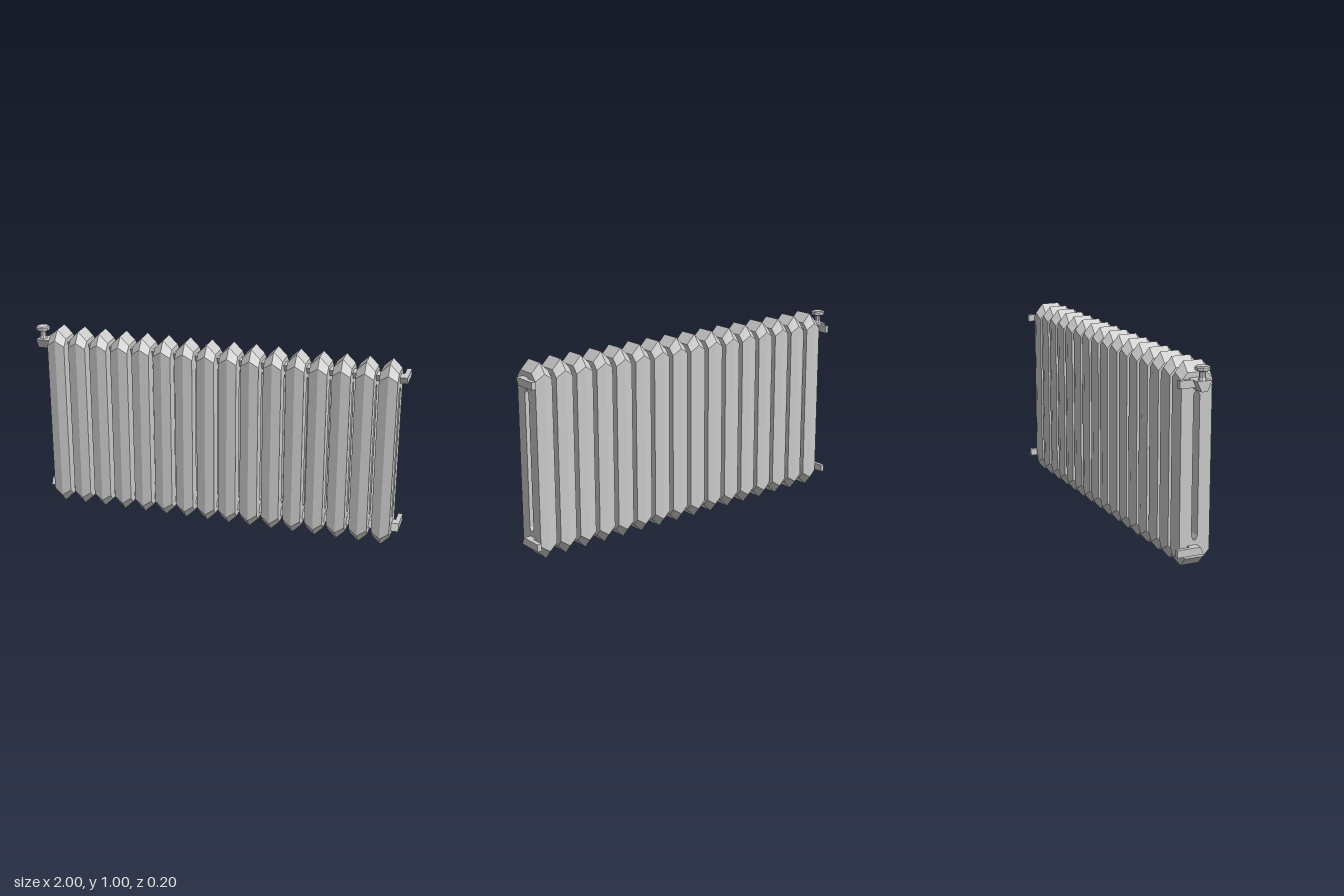
import * as THREE from 'three';

const material = new THREE.MeshStandardMaterial({ color: 0xcccccc, flatShading: true });

// Chamfered rectangle in the z-y plane, as eight points at a given x
function octagon(x, z0, z1, y0, y1, cz, cy) {
  return [
    [x, y1, z1 - cz], [x, y1, z0 + cz], [x, y1 - cy, z0], [x, y0 + cy, z0],
    [x, y0, z0 + cz], [x, y0, z1 - cz], [x, y0 + cy, z1], [x, y1 - cy, z1],
  ];
}

// Radiator section: ridged outer shell and a slot through it, as one closed ring of loops
function sectionGeometry() {
  const h = 0.047;
  const side = (x) => octagon(x, -0.07, 0.09, 0.047, 0.953, 0.031, 0.035);
  const slot = (x) => octagon(x, -0.006, 0.026, 0.137, 0.866, 0.011, 0.02);
  const ridge = octagon(0, -0.08, 0.1, 0, 1, 0.041, 0.05);
  const loops = [side(-h), ridge, side(h), slot(h), slot(-h)];
  const pos = [];
  loops.forEach((a, k) => {
    const b = loops[(k + 1) % loops.length];
    for (let i = 0; i < 8; i++) {
      const j = (i + 1) % 8;
      for (const p of [a[i], b[i], b[j], a[i], b[j], a[j]]) pos.push(...p);
    }
  });
  const g = new THREE.BufferGeometry();
  g.setAttribute('position', new THREE.Float32BufferAttribute(pos, 3));
  g.computeVertexNormals();
  return g;
}

// Prism along x with a cross-section given as [z, y] points
function prism(points, x0, x1) {
  const shape = new THREE.Shape(points.map(([z, y]) => new THREE.Vector2(-z, y)));
  const g = new THREE.ExtrudeGeometry(shape, { depth: x1 - x0, bevelEnabled: false });
  return g.rotateY(Math.PI / 2).translate(x0, 0, 0);
}

export function createModel() {
  const model = new THREE.Group();
  const add = (name, geometry, parent = model) => {
    const mesh = new THREE.Mesh(geometry, material);
    mesh.name = name;
    parent.add(mesh);
    return mesh;
  };

  // Row of sections
  const sections = new THREE.Group();
  sections.name = 'sections';
  model.add(sections);
  const section = sectionGeometry();
  for (let i = 0; i < 16; i++) {
    add('section', section, sections).position.x = -0.856 + i * 0.118;
  }

  // Upper and lower pipes with wall brackets; the slanted front is mirrored between them
  const levels = [['upper', 0.928, 0.89], ['lower', 0.075, 0.113]];
  for (const [level, wide, narrow] of levels) {
    const profile = (back) => [[0.04, wide], [0.022, narrow], [back, narrow], [back, wide]];
    add(level + 'Pipe', prism(profile(-0.025), -0.943, 0.998));
    add(level + 'RightBracket', prism(profile(-0.1), -0.945, -0.923));
    add(level + 'LeftBracket', prism(profile(-0.1), 0.976, 1));
  }

  // Valve: tapered body, stem and octagonal hand wheel
  const valve = new THREE.Group();
  valve.name = 'valve';
  model.add(valve);
  add('valveBody', prism([[0.044, 0.928], [0.02, 0.876], [-0.01, 0.876], [-0.034, 0.928]], -0.988, -0.905), valve);
  const knob = [[0, 0.92], [0.024, 0.925], [0.016, 0.94], [0.016, 0.968], [0.037, 0.975], [0.037, 0.99], [0.03, 0.995], [0, 0.995]];
  const wheel = new THREE.LatheGeometry(knob.map(([r, y]) => new THREE.Vector2(r, y)), 8, Math.PI / 8);
  add('valveWheel', wheel.translate(-0.963, 0, 0.005), valve);

  return model;
}
